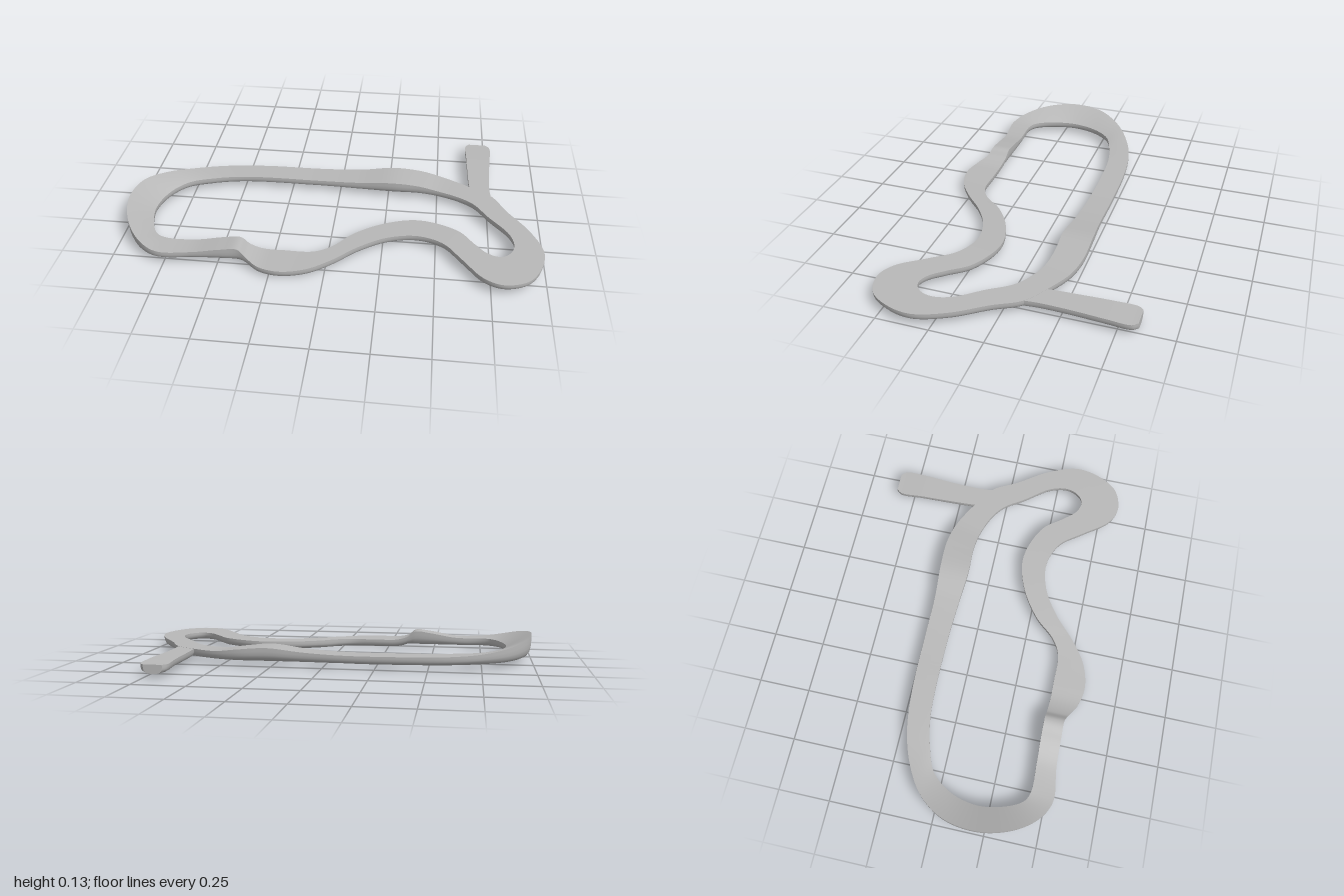
import * as THREE from 'three';

const LEVEL = 0.067; // height of the flat road
const DEPTH = 0.043; // thickness of the road

// Plan outline as x, z pairs, clockwise seen from above; both rims share the same stations
const OUTER = [
  -0.4, -0.24, -0.1, -0.245, 0.1, -0.245, 0.27, -0.255, 0.42, -0.255, 0.53, -0.23,
  0.65, -0.17, 0.77, -0.09, 0.84, 0.03, 0.94, 0.18, 0.995, 0.33, 0.975, 0.45,
  0.91, 0.55, 0.80, 0.585, 0.715, 0.55, 0.62, 0.43, 0.53, 0.32, 0.41, 0.275,
  0.27, 0.30, 0.14, 0.38, 0.03, 0.48, -0.08, 0.555, -0.2, 0.585, -0.3, 0.565,
  -0.36, 0.53, -0.40, 0.515, -0.48, 0.515, -0.62, 0.52, -0.78, 0.535, -0.87, 0.49,
  -0.95, 0.385, -0.997, 0.22, -0.975, 0.05, -0.89, -0.075, -0.76, -0.16, -0.6, -0.215,
];
const INNER = [
  -0.38, -0.13, -0.1, -0.13, 0.1, -0.12, 0.27, -0.108, 0.40, -0.112, 0.5, -0.10,
  0.61, -0.06, 0.68, -0.01, 0.75, 0.09, 0.84, 0.21, 0.862, 0.29, 0.85, 0.345,
  0.82, 0.38, 0.785, 0.39, 0.735, 0.37, 0.68, 0.31, 0.60, 0.215, 0.42, 0.15,
  0.26, 0.185, 0.11, 0.28, 0.02, 0.38, -0.06, 0.425, -0.2, 0.43, -0.3, 0.43,
  -0.36, 0.425, -0.40, 0.42, -0.48, 0.42, -0.62, 0.425, -0.76, 0.425, -0.81, 0.40,
  -0.855, 0.31, -0.875, 0.19, -0.845, 0.06, -0.77, -0.04, -0.65, -0.09, -0.52, -0.12,
];
// Stations where the road leaves its level: crests, the dip, and the banked outer rim
const CRESTS = {
  2: 0.077, 3: 0.095, 4: 0.084, 5: 0.07,
  17: 0.064, 18: 0.06, 19: 0.055, 20: 0.05, 21: 0.047, 22: 0.046, 23: 0.049,
  24: 0.068, 25: 0.097, 26: 0.09,
};
const BANK = { 28: 0.07, 29: 0.09, 30: 0.118, 31: 0.136, 32: 0.128, 33: 0.1, 34: 0.078, 35: 0.069 };

// Spur road, far end first
const SPUR_RIGHT = [0.755, -0.59, 0.776, -0.565, 0.776, -0.45, 0.766, -0.3, 0.763, -0.15, 0.77, -0.07];
const SPUR_LEFT = [0.665, -0.59, 0.648, -0.565, 0.65, -0.45, 0.655, -0.3, 0.66, -0.19, 0.67, -0.1];

// Rounded underside: position across the road, share of the depth
const BELLY = [
  [1, 0], [1, 0.25], [0.99, 0.5], [0.95, 0.72], [0.86, 0.88], [0.72, 0.97], [0.5, 1],
  [0.28, 0.97], [0.14, 0.88], [0.05, 0.72], [0.01, 0.5], [0, 0.25], [0, 0],
];
const TOP = [[0, 0], [0.5, 0], [1, 0]];

function rim(pairs, heightAt, closed) {
  const pts = [];
  for (let i = 0; i < pairs.length / 2; i++) {
    pts.push(new THREE.Vector3(pairs[2 * i], heightAt(i), pairs[2 * i + 1]));
  }
  return new THREE.CatmullRomCurve3(pts, closed);
}

// Sweeps a cross-section between two rims
function loft(outer, inner, section, steps, closed) {
  const rows = closed ? steps : steps + 1;
  const n = section.length;
  const pos = [];
  const index = [];
  for (let i = 0; i < rows; i++) {
    const a = outer.getPoint(i / steps);
    const b = inner.getPoint(i / steps);
    const floor = Math.min(a.y, b.y, LEVEL) - DEPTH;
    for (const [u, d] of section) {
      const p = a.clone().lerp(b, u);
      pos.push(p.x, THREE.MathUtils.lerp(p.y, floor, d), p.z);
    }
  }
  for (let i = 0; i < steps; i++) {
    const r = i * n;
    const s = ((i + 1) % rows) * n;
    for (let j = 0; j < n - 1; j++) {
      index.push(r + j, r + j + 1, s + j, r + j + 1, s + j + 1, s + j);
    }
  }
  const g = new THREE.BufferGeometry();
  g.setAttribute('position', new THREE.Float32BufferAttribute(pos, 3));
  g.setIndex(index);
  g.computeVertexNormals();
  return g;
}

// Flat cap closing the first cross-section
function endCap(outer, inner) {
  const a = outer.getPoint(0);
  const b = inner.getPoint(0);
  const shape = new THREE.Shape(BELLY.map(([u, d]) =>
    new THREE.Vector2(-THREE.MathUtils.lerp(a.x, b.x, u), a.y - d * DEPTH)));
  const g = new THREE.ShapeGeometry(shape);
  g.rotateY(Math.PI);
  g.translate(0, 0, a.z);
  return g;
}

export function createModel() {
  const model = new THREE.Group();
  model.name = 'raceCircuit';
  const grey = new THREE.MeshStandardMaterial({ color: 0xb8b8b8 });
  grey.name = 'light grey';

  const add = (name, geometry, parent) => {
    const mesh = new THREE.Mesh(geometry, grey);
    mesh.name = name;
    parent.add(mesh);
  };

  // Closed circuit
  const circuit = new THREE.Group();
  circuit.name = 'circuit';
  const outer = rim(OUTER, (i) => BANK[i] ?? CRESTS[i] ?? LEVEL, true);
  const inner = rim(INNER, (i) => CRESTS[i] ?? LEVEL, true);
  add('circuitRoad', loft(outer, inner, TOP, 360, true), circuit);
  add('circuitUnderside', loft(outer, inner, BELLY, 360, true), circuit);

  // Straight spur at the back
  const spur = new THREE.Group();
  spur.name = 'spur';
  const spurHeight = (i) => (i < 2 ? 0.062 : LEVEL - 0.001);
  const right = rim(SPUR_RIGHT, spurHeight, false);
  const left = rim(SPUR_LEFT, spurHeight, false);
  add('spurRoad', loft(right, left, TOP, 50, false), spur);
  add('spurUnderside', loft(right, left, BELLY, 50, false), spur);
  add('spurEnd', endCap(right, left), spur);

  model.add(circuit, spur);
  return model;
}
